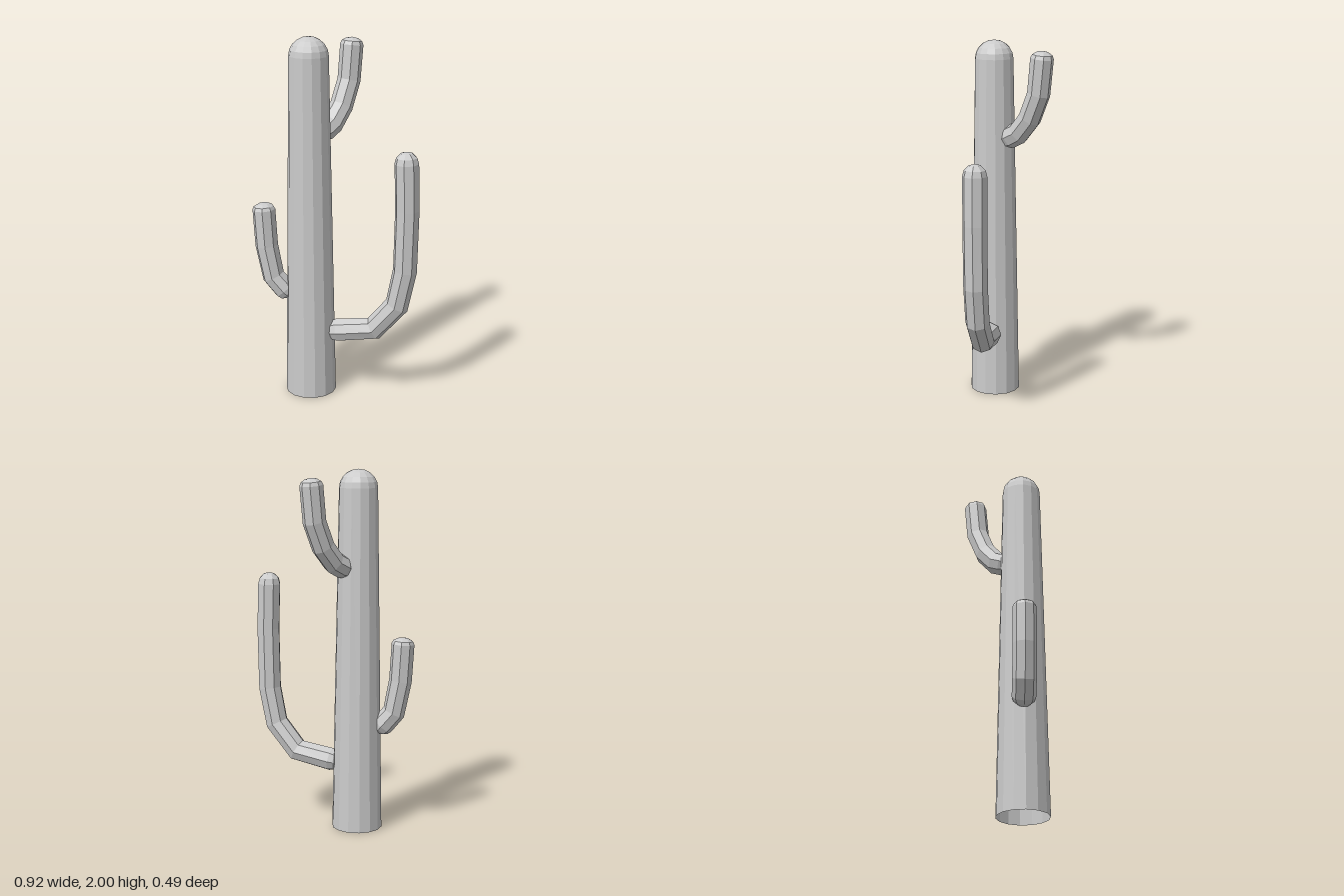
import * as THREE from 'three';

const AXIS = new THREE.Vector3(-0.148, 0, 0.105); // trunk axis
const UP = new THREE.Vector3(0, 1, 0);
const material = new THREE.MeshStandardMaterial({ color: 0xcccccc, flatShading: true, side: THREE.DoubleSide });

// Eight-sided bent arm. path = [distance from trunk axis, height]; the
// sweep stays in one vertical plane and is closed by a dome at each end.
function makeArm(name, heading, path, radius, startCap, endCap) {
  const SIDES = 8, CAP_ROWS = 3;
  const out = new THREE.Vector3(...heading).normalize();
  const side = new THREE.Vector3().crossVectors(out, UP);
  const pts = path.map(([d, y]) => out.clone().multiplyScalar(d).addScaledVector(UP, y));
  const last = pts.length - 1;
  const tangents = pts.map((p, i) => {
    const t = new THREE.Vector3();
    if (i > 0) t.add(p.clone().sub(pts[i - 1]).normalize());
    if (i < last) t.add(pts[i + 1].clone().sub(p).normalize());
    return t.normalize();
  });

  const rows = [];
  const addRow = (i, shift, r) =>
    rows.push({ c: pts[i].clone().addScaledVector(tangents[i], shift), t: tangents[i], r });
  for (let k = 0; k < CAP_ROWS; k++) {
    const a = (k / CAP_ROWS) * Math.PI / 2;
    addRow(0, -startCap * Math.cos(a), radius * Math.sin(a));
  }
  pts.forEach((p, i) => addRow(i, 0, radius));
  for (let k = 1; k <= CAP_ROWS; k++) {
    const a = (k / CAP_ROWS) * Math.PI / 2;
    addRow(last, endCap * Math.sin(a), radius * Math.cos(a));
  }

  const positions = [], index = [];
  rows.forEach(({ c, t, r }, i) => {
    const normal = new THREE.Vector3().crossVectors(side, t);
    for (let j = 0; j < SIDES; j++) {
      const a = (j / SIDES) * Math.PI * 2;
      const v = c.clone().addScaledVector(normal, r * Math.cos(a)).addScaledVector(side, r * Math.sin(a));
      positions.push(v.x, v.y, v.z);
      if (i === 0) continue;
      const n = (j + 1) % SIDES;
      const a0 = (i - 1) * SIDES + j, b0 = (i - 1) * SIDES + n;
      const a1 = i * SIDES + j, b1 = i * SIDES + n;
      if (i > 1) index.push(a0, b0, b1);
      if (i < rows.length - 1) index.push(a0, b1, a1);
      else if (i === 1) index.push(a0, b1, a1);
    }
  });
  const geometry = new THREE.BufferGeometry();
  geometry.setAttribute('position', new THREE.Float32BufferAttribute(positions, 3));
  geometry.setIndex(index);
  geometry.computeVertexNormals();
  const arm = new THREE.Mesh(geometry, material);
  arm.name = name;
  arm.position.copy(AXIS);
  return arm;
}

// Tapered trunk with a domed top, open underneath
function makeTrunk() {
  const profile = [new THREE.Vector2(0.14, 0)];
  const DOME_ROWS = 5;
  for (let i = 0; i <= DOME_ROWS; i++) {
    const a = (i / DOME_ROWS) * Math.PI / 2;
    profile.push(new THREE.Vector2(0.106 * Math.cos(a), 1.9 + 0.1 * Math.sin(a)));
  }
  const trunk = new THREE.Mesh(new THREE.LatheGeometry(profile, 14), material);
  trunk.name = 'trunk';
  trunk.position.copy(AXIS);
  return trunk;
}

export function createModel() {
  const cactus = new THREE.Group();
  cactus.name = 'cactus';
  cactus.add(
    makeTrunk(),
    makeArm('leftArm', [1, 0, 0.005],
      [[0.158, 0.372], [0.363, 0.405], [0.491, 0.555], [0.533, 0.76], [0.54, 1.1], [0.533, 1.355]],
      0.066, 0.06, 0.065),
    makeArm('rightArm', [-1, 0, 0.17],
      [[0.142, 0.595], [0.205, 0.67], [0.24, 0.85], [0.252, 1.055]],
      0.063, 0.05, 0.035),
    makeArm('backArm', [0.483, 0, -0.875],
      [[0.114, 1.48], [0.171, 1.508], [0.246, 1.595], [0.305, 1.73], [0.326, 1.92]],
      0.063, 0.05, 0.04),
  );
  return cactus;
}
